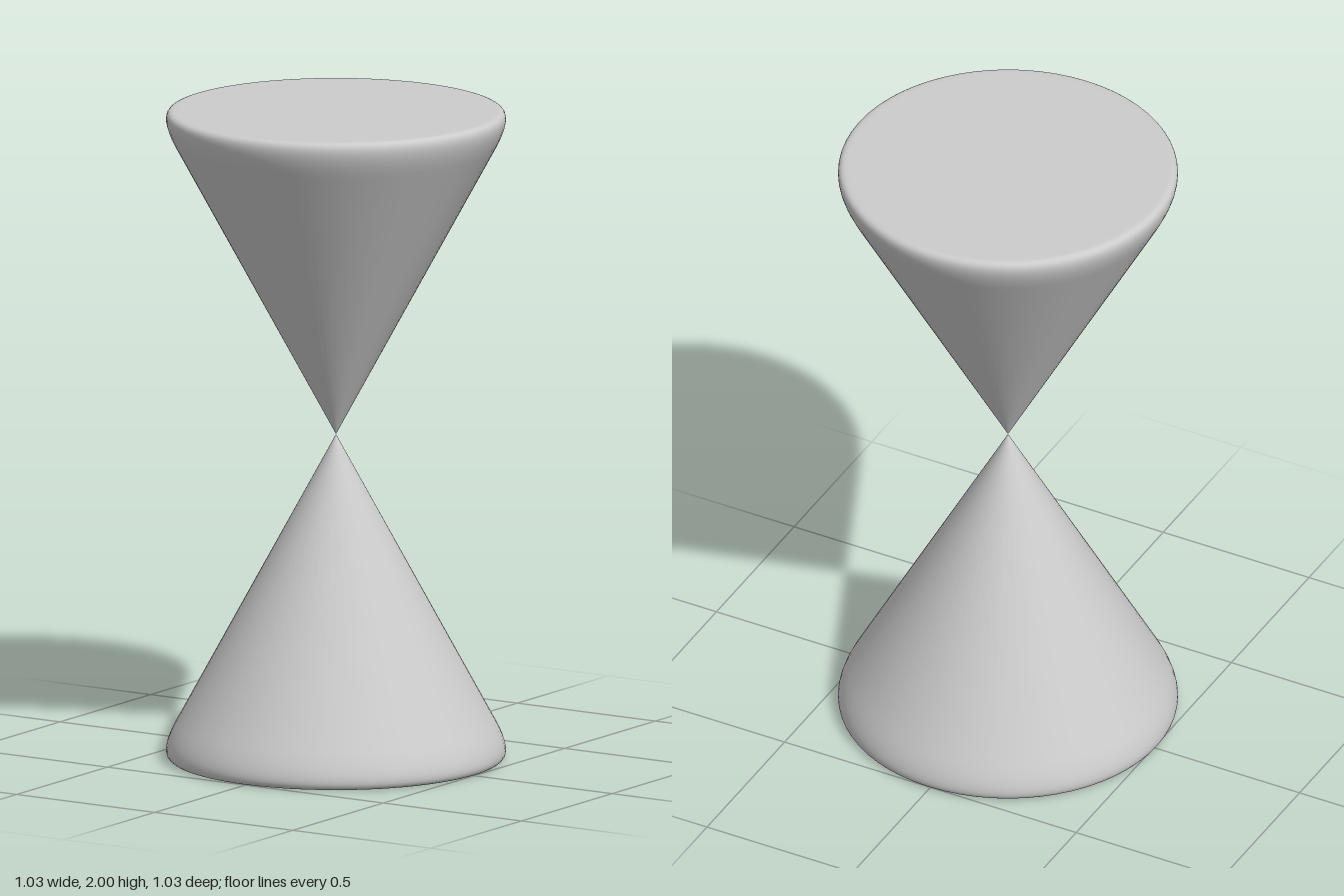
import * as THREE from 'three';

export function createModel() {
  const group = new THREE.Group();
  group.name = 'doubleCone';
  const material = new THREE.MeshStandardMaterial({ color: 0xcccccc });

  // Half profile: flat base, softly rounded rim, straight flank to the apex
  const rim = new THREE.CubicBezierCurve(
    new THREE.Vector2(0.49, 0),
    new THREE.Vector2(0.523, 0),
    new THREE.Vector2(0.525, 0.036),
    new THREE.Vector2(0.485, 0.11),
  );
  const profile = [
    new THREE.Vector2(0, 0),
    new THREE.Vector2(0.48, 0),
    ...rim.getPoints(12),
    new THREE.Vector2(0.474, 0.13),
    new THREE.Vector2(0, 1),
  ];
  const coneGeometry = new THREE.LatheGeometry(profile, 64);

  // Standing cone below, the same cone turned over above, apexes touching
  const lower = new THREE.Mesh(coneGeometry, material);
  lower.name = 'lowerCone';
  const upper = new THREE.Mesh(coneGeometry, material);
  upper.name = 'upperCone';
  upper.rotation.x = Math.PI;
  upper.position.y = 2;

  group.add(lower, upper);
  return group;
}
